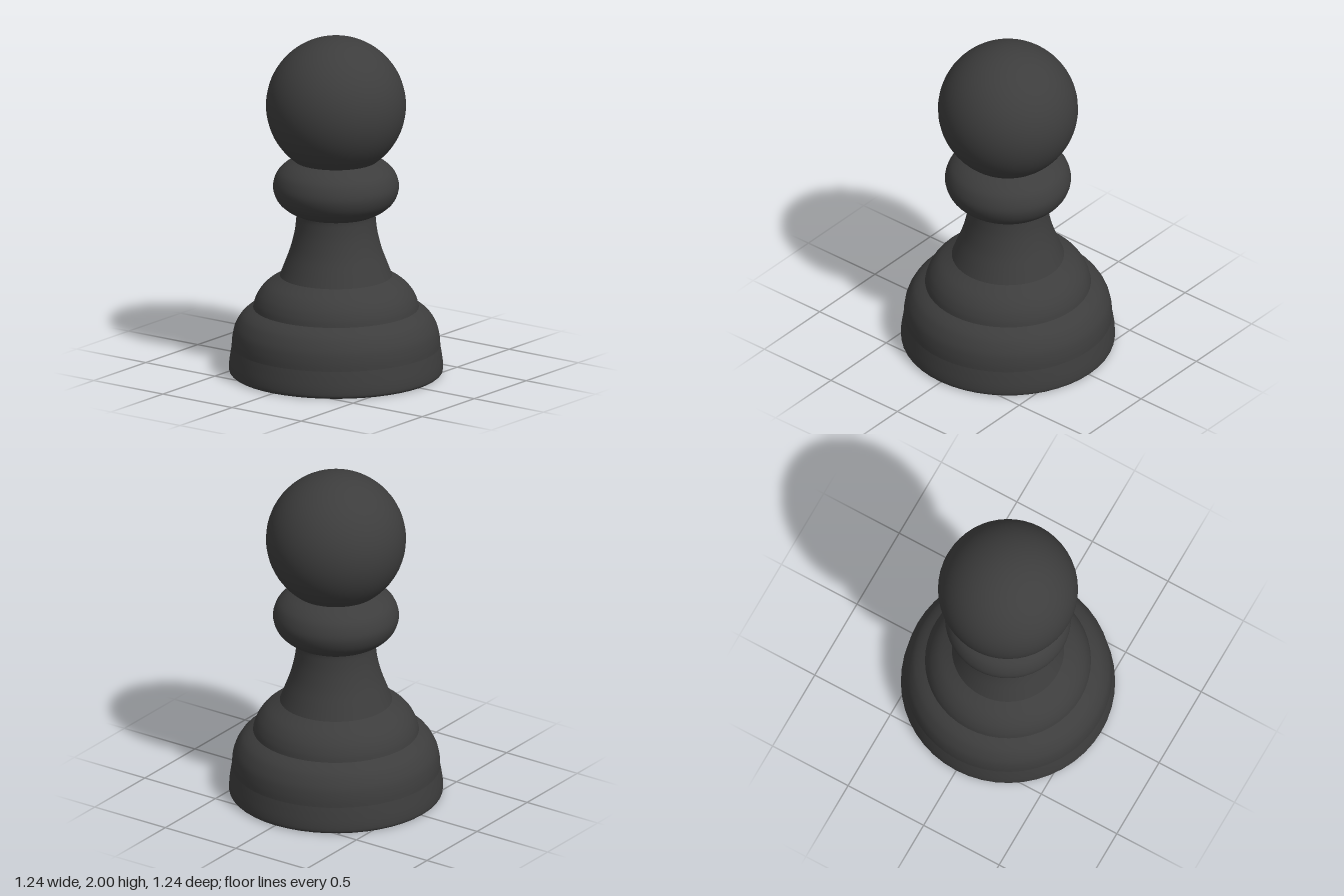
import * as THREE from 'three';

const SEGMENTS = 48;

export function createModel() {
  const model = new THREE.Group();
  model.name = 'chessPawn';
  const charcoal = new THREE.MeshStandardMaterial({ color: 0x3d3d3d });
  charcoal.name = 'charcoal';

  // Turned part: a smooth curve through [radius, height] points, bottom to top
  const turn = (name, points, steps = 20) => {
    const curve = new THREE.SplineCurve(points.map(([r, y]) => new THREE.Vector2(r, y)));
    const mesh = new THREE.Mesh(new THREE.LatheGeometry(curve.getPoints(steps), SEGMENTS), charcoal);
    mesh.name = name;
    model.add(mesh);
  };

  // Underside disc
  const underside = new THREE.Mesh(new THREE.CircleGeometry(0.605, SEGMENTS), charcoal);
  underside.name = 'underside';
  underside.rotation.x = Math.PI / 2;
  model.add(underside);

  // Stepped foot
  turn('footRim', [[0.605, 0], [0.618, 0.015], [0.618, 0.06], [0.61, 0.12], [0.603, 0.16]]);
  turn('foot', [[0.603, 0.16], [0.6, 0.21], [0.587, 0.27], [0.555, 0.33], [0.52, 0.365], [0.48, 0.39]]);
  turn('upperStep', [[0.48, 0.39], [0.47, 0.43], [0.445, 0.48], [0.4, 0.53], [0.325, 0.58]]);

  // Flared stem
  turn('stem', [[0.325, 0.58], [0.298, 0.65], [0.265, 0.74], [0.24, 0.84], [0.23, 0.92], [0.23, 0.95]]);

  // Rounded collar and the short neck above it
  turn('collar', [[0.23, 0.95], [0.29, 0.982], [0.342, 1.035], [0.365, 1.11], [0.345, 1.185],
    [0.3, 1.235], [0.24, 1.27]], 28);
  turn('neck', [[0.24, 1.27], [0.24, 1.29], [0.262, 1.31]], 6);

  // Ball head, open below where it meets the neck
  const head = new THREE.Mesh(
    new THREE.SphereGeometry(0.405, SEGMENTS, 32, 0, Math.PI * 2, 0, Math.PI * 0.8), charcoal);
  head.name = 'head';
  head.position.y = 1.595;
  model.add(head);

  return model;
}
